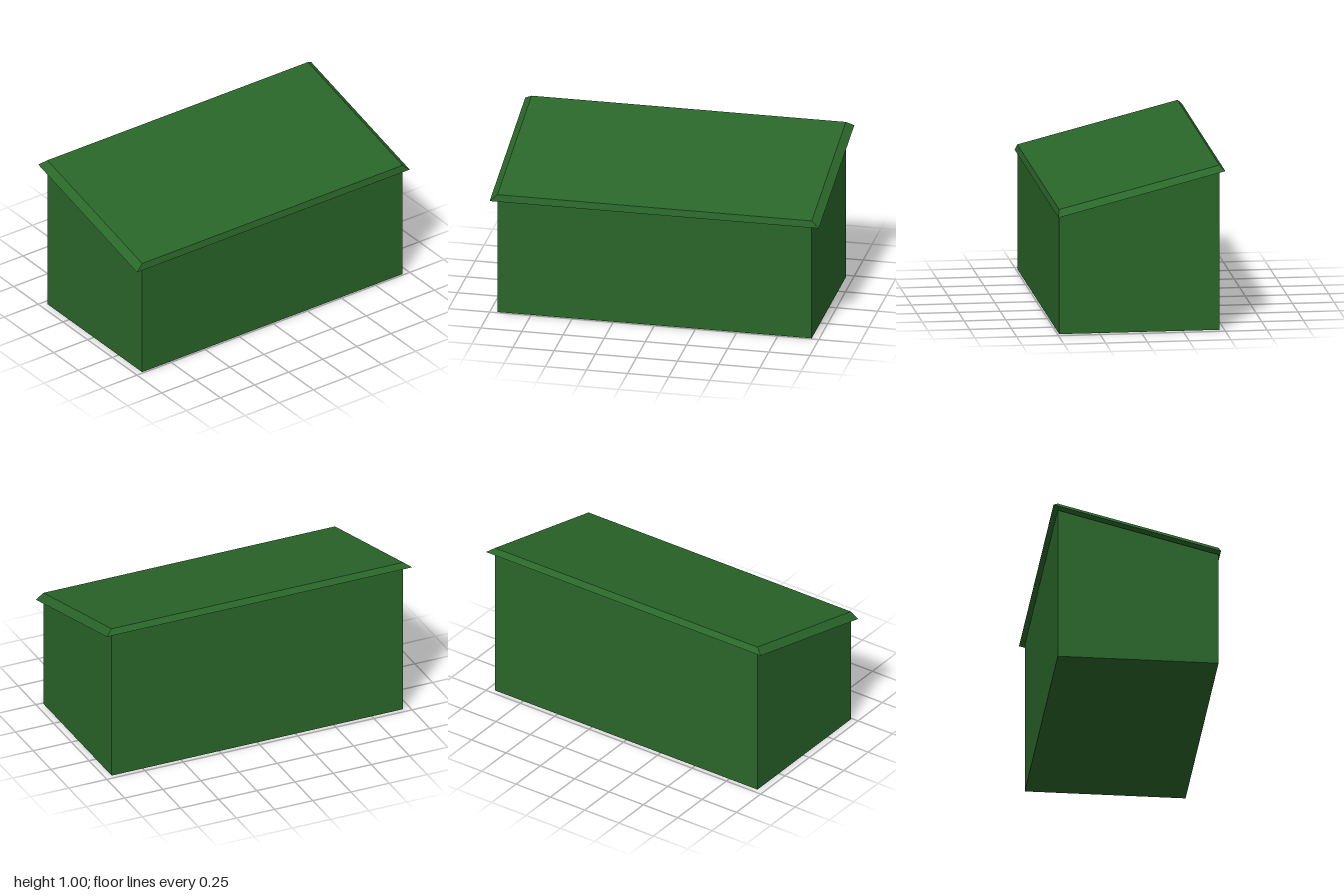
import * as THREE from 'three';

const FRONT = 0.49, BACK = -0.47, HALF_WIDTH = 0.955;

// Box whose corners are placed by a rule: rule(sideX, isTop, isFront) -> [x, y, z]
function shapedBox(name, material, rule) {
  const geometry = new THREE.BoxGeometry(1, 1, 1).toNonIndexed();
  const p = geometry.attributes.position;
  for (let i = 0; i < p.count; i++) {
    p.setXYZ(i, ...rule(Math.sign(p.getX(i)), p.getY(i) > 0, p.getZ(i) > 0));
  }
  geometry.computeVertexNormals();
  const mesh = new THREE.Mesh(geometry, material);
  mesh.name = name;
  return mesh;
}

export function createModel() {
  const group = new THREE.Group();
  group.name = 'slopedBin';
  const green = new THREE.MeshStandardMaterial({ color: 0x2a662a, flatShading: true });

  // Body: straight walls, top sloping up towards the back
  group.add(shapedBox('body', green, (side, top, front) => [
    side * HALF_WIDTH,
    top ? (front ? 0.711 : 0.957) : 0,
    front ? FRONT : BACK,
  ]));

  // Lid: sloping slab with bevelled edges that overhang the body
  group.add(shapedBox('lid', green, (side, top, front) => top
    ? [side * HALF_WIDTH, front ? 0.756 : 1, front ? FRONT : BACK]
    : [side, front ? 0.715 : 0.971, front ? 0.5 : -0.5]));

  return group;
}
